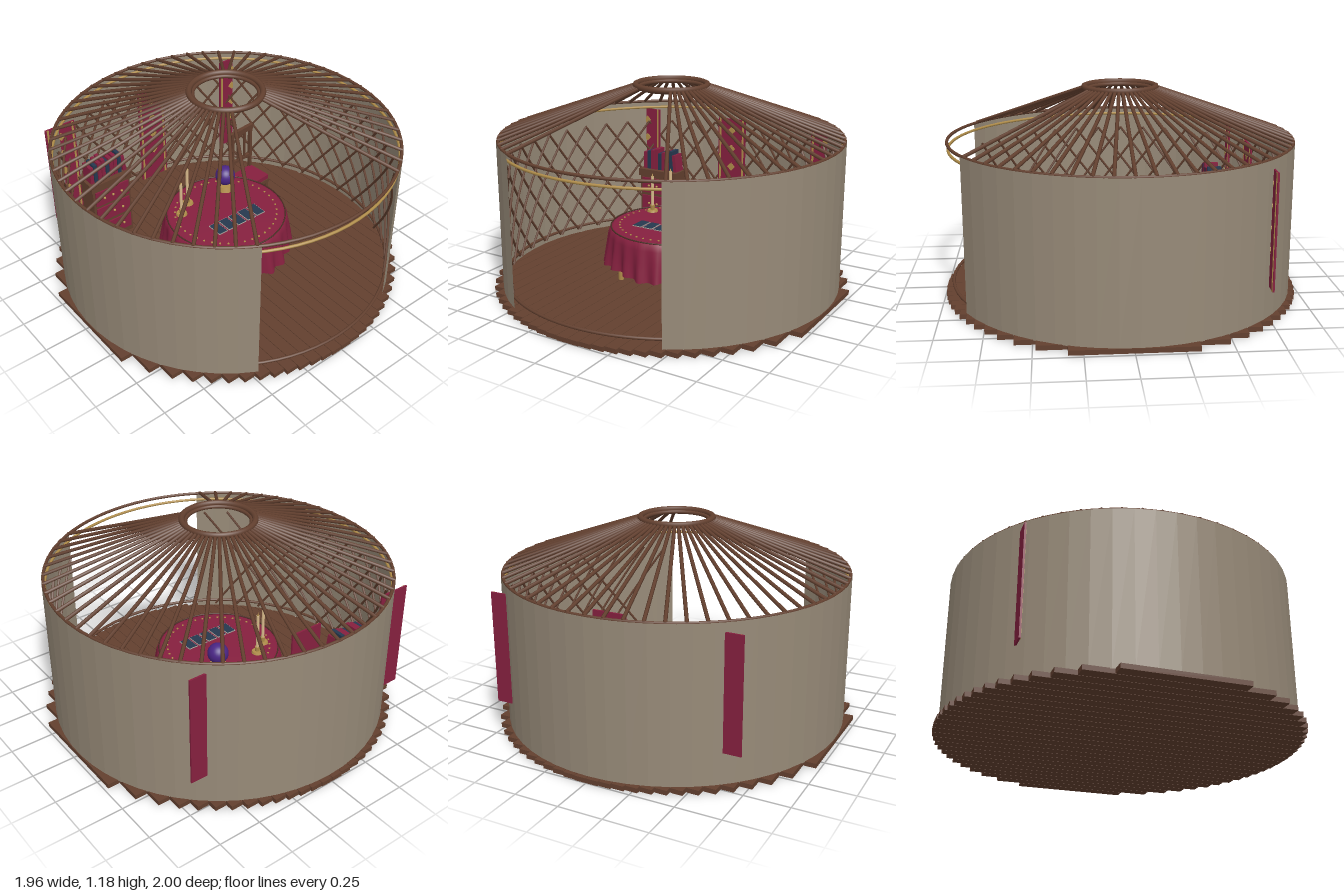
import * as THREE from 'three';

const mat = (color, extra = {}) => new THREE.MeshStandardMaterial({ color, ...extra });
const DS = { side: THREE.DoubleSide };
const felt = mat(0x978a78, { ...DS, flatShading: true });
const wood = mat(0x63402f), darkWood = mat(0x4a2f24);
const crimson = mat(0x86203f), cloth = mat(0x86203f, DS);
const gold = mat(0xb08d4a), wax = mat(0xd8b98a);
const purple = mat(0x4a2585), blue = mat(0x26384f), pale = mat(0xa8a49a);

function add(parent, name, geo, material, x = 0, y = 0, z = 0) {
  const m = new THREE.Mesh(geo, material);
  m.name = name;
  m.position.set(x, y, z);
  parent.add(m);
  return m;
}
const box = (p, name, w, h, d, material, x, y, z) =>
  add(p, name, new THREE.BoxGeometry(w, h, d), material, x, y, z);
const cyl = (p, name, r0, r1, h, material, x, y, z, n = 12) =>
  add(p, name, new THREE.CylinderGeometry(r0, r1, h, n), material, x, y, z);

function group(parent, name, x = 0, y = 0, z = 0) {
  const g = new THREE.Group();
  g.name = name;
  g.position.set(x, y, z);
  parent.add(g);
  return g;
}
function hoop(parent, name, r, tube, y, material = wood) {
  const m = add(parent, name, new THREE.TorusGeometry(r, tube, 8, 80), material, 0, y, 0);
  m.rotation.x = Math.PI / 2;
  return m;
}
// point on a circle; angle 0 faces the front
const polar = (r, a, y) => new THREE.Vector3(r * Math.sin(a), y, r * Math.cos(a));

function bar(parent, name, a, b, r, material) {
  const m = cyl(parent, name, r, r, a.distanceTo(b), material, 0, 0, 0, 6);
  m.position.copy(a).lerp(b, 0.5);
  m.quaternion.setFromUnitVectors(new THREE.Vector3(0, 1, 0), b.clone().sub(a).normalize());
  return m;
}

function buildFloor(root) {
  const g = group(root, 'floor');
  for (let i = 0; i < 28; i++) {
    const x = (i - 13.5) * 0.07;
    box(g, 'floorPlank', 0.067, 0.026, 2 * Math.sqrt(1 - x * x), wood, x, 0.015, 0);
  }
  cyl(g, 'subfloor', 0.94, 0.94, 0.012, darkWood, 0, 0.012, 0, 48);
}

function buildWalls(root) {
  const g = group(root, 'walls');
  const gap = 0.503;
  add(g, 'feltWall', new THREE.CylinderGeometry(0.975, 0.975, 0.855, 48, 1, true, gap, 2 * Math.PI - 2 * gap),
    felt, 0, 0.4525, 0);
  hoop(g, 'topHoop', 0.965, 0.009, 0.88);
  hoop(g, 'innerHoop', 0.96, 0.008, 0.84, gold);
  hoop(g, 'bottomHoop', 0.96, 0.009, 0.077);

  // crossing lattice bars bent along the wall
  const step = Math.PI / 20, span = 3.5 * step;
  for (const dir of [1, -1]) {
    for (let i = 0; i < 40; i++) {
      const start = i * step, end = start + dir * span;
      const lo = Math.min(start, end), hi = Math.max(start, end);
      if (lo < gap || hi > 2 * Math.PI - gap) continue;
      const pts = [];
      for (let k = 0; k <= 5; k++)
        pts.push(polar(dir > 0 ? 0.955 : 0.943, start + dir * span * k / 5, 0.06 + 0.69 * k / 5));
      add(g, 'latticeBar', new THREE.TubeGeometry(new THREE.CatmullRomCurve3(pts), 8, 0.0075, 5), wood);
    }
  }
}

function buildRoof(root) {
  const g = group(root, 'roof');
  for (let i = 5; i <= 55; i++) {
    const a = i * Math.PI / 30;
    bar(g, 'rafter', polar(0.968, a, 0.882), polar(0.195, a, 1.16), 0.01, wood);
  }
  hoop(g, 'crownOuterRing', 0.2, 0.017, 1.163);
  hoop(g, 'crownInnerRing', 0.18, 0.011, 1.15);
}

function buildHangings(root) {
  for (const x of [-0.635, 0, 0.635]) {
    const g = group(root, 'wallHanging', x, 0.515, -0.735);
    box(g, 'hangingCloth', 0.19, 0.63, 0.01, crimson, 0, 0, 0);
    for (const s of [-1, 1]) box(g, 'hangingTrim', 0.012, 0.63, 0.004, gold, s * 0.08, 0, 0.006);
    for (let i = 0; i < 4; i++) {
      const d = box(g, 'hangingDiamond', 0.038, 0.038, 0.004, gold, 0, 0.24 - i * 0.118, 0.006);
      d.rotation.z = Math.PI / 4;
    }
  }
}

function buildTable(root) {
  const g = group(root, 'table');
  // draped cloth: folds grow towards the hem
  const profile = [[0.385, 0.13], [0.38, 0.18], [0.373, 0.24], [0.366, 0.3], [0.355, 0.335], [0.335, 0.343], [0.001, 0.345]]
    .map(p => new THREE.Vector2(...p));
  const geo = new THREE.LatheGeometry(profile, 144);
  const pos = geo.attributes.position;
  for (let i = 0; i < pos.count; i++) {
    const x = pos.getX(i), y = pos.getY(i), z = pos.getZ(i);
    const a = Math.atan2(x, z), t = Math.max(0, (0.335 - y) / 0.205);
    const k = 1 + 0.045 * t * Math.sin(24 * a) + 0.015 * t * Math.sin(7 * a);
    pos.setXYZ(i, x * k, y - 0.012 * t * Math.sin(5 * a + 1), z * k);
  }
  geo.computeVertexNormals();
  add(g, 'tablecloth', geo, cloth);
  hoop(g, 'clothEdge', 0.35, 0.004, 0.342, darkWood);
  cyl(g, 'tableTop', 0.33, 0.33, 0.025, wood, 0, 0.325, 0, 40);
  for (let i = 0; i < 4; i++) {
    const p = polar(0.3, Math.PI / 4 + i * Math.PI / 2, 0.17);
    cyl(g, 'tableLeg', 0.022, 0.016, 0.29, gold, p.x, p.y, p.z);
  }
  for (let i = 0; i < 40; i++) {
    const p = polar(0.3, i * Math.PI / 20, 0.346);
    cyl(g, 'goldStud', 0.006, 0.006, 0.004, gold, p.x, p.y, p.z, 8);
  }
  // fortune cards
  for (let i = 0; i < 5; i++) {
    const x = (i - 2) * 0.07;
    box(g, 'cardBorder', 0.06, 0.004, 0.1, pale, x, 0.349, 0.105);
    box(g, 'cardFace', 0.053, 0.004, 0.093, blue, x, 0.351, 0.105);
  }
  for (const [x, z, h] of [[-0.22, -0.14, 0.2], [-0.13, -0.2, 0.23]]) {
    const c = group(g, 'candlestick', x, 0.345, z);
    cyl(c, 'candleDish', 0.03, 0.034, 0.012, gold, 0, 0.006, 0, 16);
    cyl(c, 'candleCup', 0.015, 0.012, 0.03, gold, 0, 0.025, 0);
    cyl(c, 'candle', 0.009, 0.009, h, wax, 0, 0.02 + h / 2, 0);
    add(c, 'flame', new THREE.ConeGeometry(0.006, 0.022, 8), gold, 0, 0.03 + h, 0);
  }
  const b = group(g, 'crystalBall', 0.14, 0.345, -0.18);
  cyl(b, 'ballStand', 0.045, 0.055, 0.03, gold, 0, 0.015, 0, 24);
  add(b, 'ball', new THREE.SphereGeometry(0.06, 32, 20), purple, 0, 0.095, 0);
}

function buildDresser(root) {
  const g = group(root, 'dresser', -0.44, 0, -0.61);
  box(g, 'dresserBody', 0.26, 0.4, 0.13, wood, 0, 0.23, 0);
  box(g, 'dresserTop', 0.28, 0.045, 0.15, wood, 0, 0.448, 0);
  for (const y of [0.12, 0.245, 0.365]) {
    box(g, 'drawer', 0.23, 0.1, 0.012, crimson, 0, y, 0.068);
    for (const x of [-0.06, 0, 0.06])
      add(g, 'drawerKnob', new THREE.SphereGeometry(0.008, 10, 8), gold, x, y, 0.08);
  }
  for (let i = 0; i < 9; i++) {
    const h = 0.11 + 0.025 * ((i * 5) % 4) / 3;
    const k = box(g, 'book', 0.022, h, 0.085, i % 3 === 1 ? blue : crimson, -0.11 + i * 0.0275, 0.47 + h / 2, 0);
    k.rotation.z = i === 8 ? 0.12 : 0;
  }
}

function buildChair(root) {
  const g = group(root, 'chair', 0.455, 0.03, -0.32);
  g.rotation.y = 0.1;
  box(g, 'seatFrame', 0.19, 0.025, 0.17, wood, 0, 0.148, 0);
  box(g, 'seatCushion', 0.18, 0.03, 0.16, crimson, 0, 0.175, 0);
  for (const s of [-1, 1]) {
    box(g, 'frontLeg', 0.02, 0.15, 0.02, wood, s * 0.08, 0.075, 0.07);
    box(g, 'backPost', 0.02, 0.5, 0.02, wood, s * 0.08, 0.25, -0.08);
    box(g, 'sideStretcher', 0.012, 0.012, 0.14, wood, s * 0.08, 0.06, -0.005);
  }
  box(g, 'topRail', 0.19, 0.035, 0.024, wood, 0, 0.49, -0.08);
  box(g, 'lowerRail', 0.15, 0.02, 0.016, wood, 0, 0.28, -0.08);
  for (const x of [-0.03, 0.03]) box(g, 'backSlat', 0.012, 0.2, 0.012, wood, x, 0.38, -0.08);
}

export function createModel() {
  const root = new THREE.Group();
  root.name = 'yurt';
  for (const build of [buildFloor, buildWalls, buildRoof, buildHangings, buildTable, buildDresser, buildChair])
    build(root);
  return root;
}
